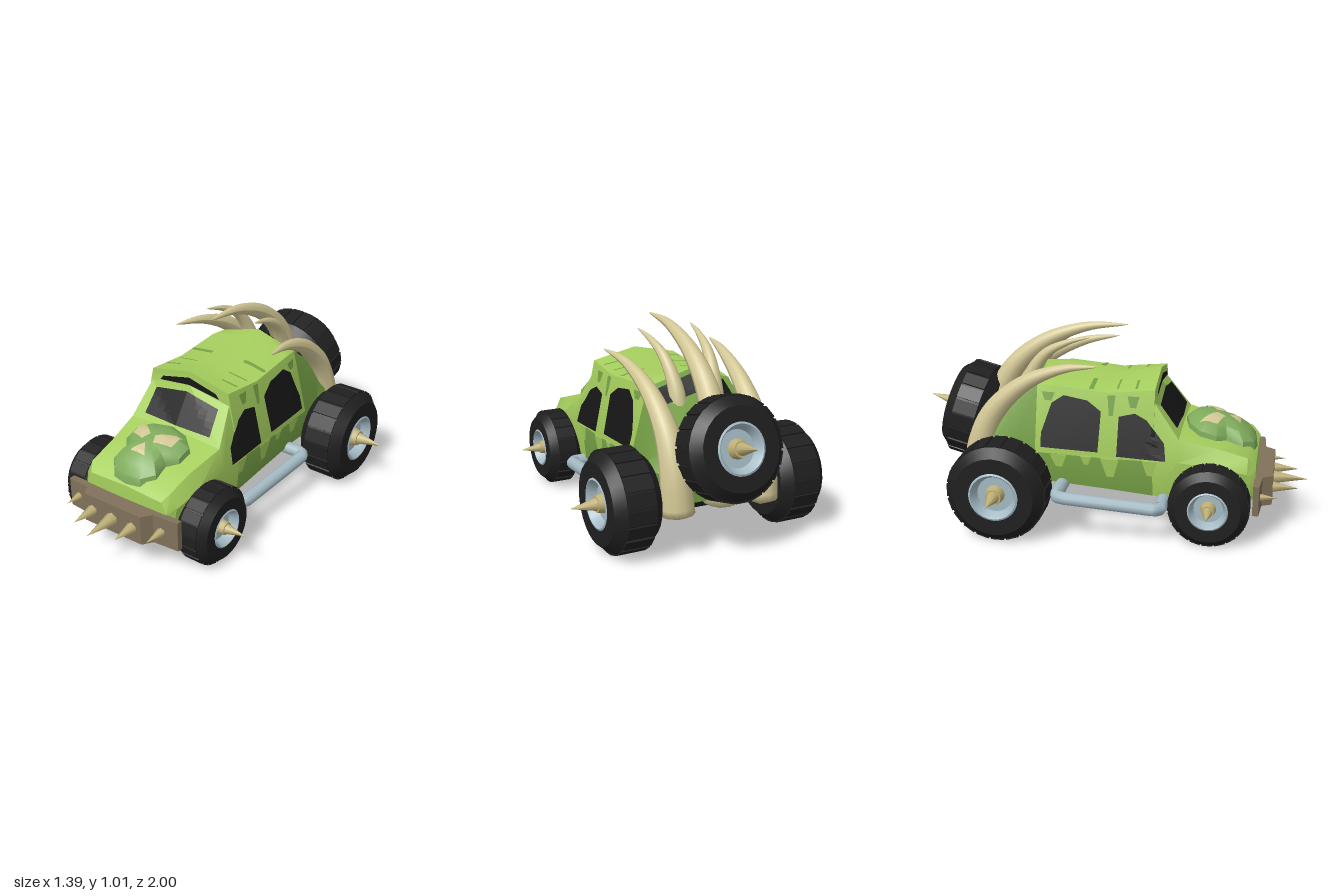
import * as THREE from 'three';
import { toCreasedNormals } from 'three/addons/utils/BufferGeometryUtils.js';

const mat = (name, color) => new THREE.MeshStandardMaterial({ name, color, side: THREE.DoubleSide });
const M = {
  green: mat('lime paint', 0xa6cf5e), dark: mat('moss paint', 0x75a045), skull: mat('skull green', 0x7fab5c),
  tyre: mat('tyre black', 0x1f1f20), glass: mat('dark glass', 0x161617), bone: mat('bone', 0xd2c795),
  spike: mat('spike tan', 0xbfb077), wood: mat('bumper brown', 0x80715a), steel: mat('pale steel', 0xa4bac4),
};
const V = (x, y, z) => new THREE.Vector3(x, y, z);
const lerp = THREE.MathUtils.lerp;

function add(parent, name, geometry, material) {
  const mesh = new THREE.Mesh(geometry, material);
  mesh.name = name;
  parent.add(mesh);
  return mesh;
}

function flat(positions) {
  const g = new THREE.BufferGeometry();
  g.setAttribute('position', new THREE.Float32BufferAttribute(positions, 3));
  g.computeVertexNormals();
  return g;
}

// Body shell lofted along z: [z, bottom, sill half width, belt y, belt half width, edge y, edge half width, crown y]
const STATIONS = [
  [0.74, 0.20, 0.22, 0.32, 0.25, 0.375, 0.22, 0.385],
  [0.70, 0.17, 0.25, 0.34, 0.28, 0.415, 0.245, 0.43],
  [0.55, 0.17, 0.26, 0.37, 0.295, 0.455, 0.25, 0.475],
  [0.36, 0.19, 0.27, 0.39, 0.305, 0.50, 0.275, 0.515],
  [0.235, 0.20, 0.29, 0.39, 0.31, 0.67, 0.24, 0.71],
  [0.235, 0.20, 0.29, 0.39, 0.31, 0.735, 0.235, 0.785],
  [0.0, 0.22, 0.29, 0.39, 0.31, 0.71, 0.24, 0.74],
  [-0.27, 0.24, 0.29, 0.40, 0.31, 0.735, 0.235, 0.79],
  [-0.36, 0.24, 0.29, 0.40, 0.31, 0.73, 0.225, 0.795],
  [-0.48, 0.24, 0.28, 0.40, 0.305, 0.64, 0.225, 0.69],
  [-0.60, 0.24, 0.27, 0.39, 0.30, 0.50, 0.24, 0.55],
  [-0.70, 0.25, 0.22, 0.37, 0.25, 0.41, 0.21, 0.43],
];

function bodyShell(parent) {
  const loops = STATIONS.map(([z, yb, s, y1, w1, y2, w2, yc]) => {
    const half = [[s, yb], [w1, y1], [w2, y2]];
    return [[0, yb], ...half, [0, yc], ...half.map(([x, y]) => [-x, y]).reverse()].map(([x, y]) => [x, y, z]);
  });
  const buckets = [[], [], []]; // lime, moss, underside
  const n = 8;
  for (let i = 0; i < loops.length - 1; i++) {
    for (let j = 0; j < n; j++) {
      const a = loops[i][j], b = loops[i][(j + 1) % n], c = loops[i + 1][(j + 1) % n], d = loops[i + 1][j];
      const z = STATIONS[i][0];
      const lowerSide = j === 1 || j === 6;
      const k = j === 0 || j === 7 ? 2 : z <= -0.36 || (lowerSide && z < 0.3) ? 1 : 0;
      buckets[k].push(...a, ...d, ...c, ...a, ...c, ...b);
    }
  }
  const front = loops[0], rear = loops[loops.length - 1];
  for (let j = 0; j < n; j++) {
    const k = (j + 1) % n;
    buckets[0].push(0, 0.3, 0.745, ...front[j], ...front[k]);
    buckets[1].push(0, 0.33, -0.70, ...rear[k], ...rear[j]);
  }
  const geo = toCreasedNormals(flat(buckets.flat()), 0.6);
  let start = 0;
  buckets.forEach((b, k) => { geo.addGroup(start, b.length / 3, k); start += b.length / 3; });
  return add(parent, 'bodyShell', geo, [M.green, M.dark, M.tyre]);
}

// Thin panel laid on a surface: outline is (z,y) along x, (x,z) along y, (x,y) along z
function patch(parent, name, outline, target, axis, sign, material, lift = 0.006) {
  const dir = V(axis === 'x' ? -sign : 0, axis === 'y' ? -sign : 0, axis === 'z' ? -sign : 0);
  const ray = new THREE.Raycaster();
  const place = ([u, v]) => {
    const o = axis === 'x' ? V(2 * sign, v, u) : axis === 'y' ? V(u, 2 * sign, v) : V(u, v, 2 * sign);
    ray.set(o, dir);
    const hit = ray.intersectObject(target)[0];
    const p = hit ? hit.point : o.addScaledVector(dir, 1.7);
    return p.addScaledVector(dir, -lift).toArray();
  };
  const edge = outline.flatMap((p, i) => {
    const q = outline[(i + 1) % outline.length];
    return [0, 1, 2, 3].map(k => [lerp(p[0], q[0], k / 4), lerp(p[1], q[1], k / 4)]);
  });
  const cu = outline.reduce((s, p) => s + p[0], 0) / outline.length;
  const cv = outline.reduce((s, p) => s + p[1], 0) / outline.length;
  const rings = [0, 1, 2, 3, 4].map(r => edge.map(p => place([lerp(cu, p[0], r / 4), lerp(cv, p[1], r / 4)])));
  const pos = [];
  for (let r = 0; r < 4; r++) {
    for (let i = 0; i < edge.length; i++) {
      const j = (i + 1) % edge.length;
      const a = rings[r][i], b = rings[r + 1][i], c = rings[r + 1][j], d = rings[r][j];
      pos.push(...a, ...b, ...c);
      if (r > 0) pos.push(...a, ...c, ...d);
    }
  }
  return add(parent, name, flat(pos), material);
}

// Wheel on a local +y axle, spike pointing outward
function wheel(name, R, h, spikeLength) {
  const g = new THREE.Group();
  g.name = name;
  const lathe = pts => new THREE.LatheGeometry(pts.map(([r, y]) => new THREE.Vector2(r, y)), 28);
  const r = R * 0.975;
  add(g, 'tyre', toCreasedNormals(lathe([[0, -h + 0.02], [0.45 * R, -h + 0.02], [0.5 * R, -h], [0.8 * R, -h], [r, -h + 0.2 * R],
    [r, h - 0.2 * R], [0.8 * R, h], [0.5 * R, h], [0.45 * R, h - 0.06]]), 0.5), M.tyre);
  add(g, 'rim', toCreasedNormals(lathe([[0.5 * R, h - 0.002], [0.46 * R, h + 0.003], [0.42 * R, h - 0.01],
    [0.36 * R, h - 0.045], [0, h - 0.045]]), 0.5), M.steel);
  for (let i = 0; i < 20; i++) {
    const a = (i / 20) * Math.PI * 2;
    const tread = add(g, 'tread', new THREE.BoxGeometry(R * 0.05, 2 * h - 0.4 * R, R * 0.26), M.tyre);
    tread.position.set(Math.cos(a) * R * 0.972, 0, Math.sin(a) * R * 0.972);
    tread.rotation.y = -a;
  }
  add(g, 'hub', new THREE.CylinderGeometry(R * 0.16, R * 0.2, 0.05, 12).translate(0, h - 0.025, 0), M.spike);
  add(g, 'hubSpike', new THREE.ConeGeometry(R * 0.13, spikeLength, 8).translate(0, h + spikeLength / 2, 0), M.spike);
  return g;
}

// Tapered curved tusk, thick rounded base to sharp tip
function tusk(parent, name, pts, radius) {
  const curve = new THREE.CatmullRomCurve3(pts.map(p => V(...p)));
  const seg = 32, sides = 12;
  const geo = new THREE.TubeGeometry(curve, seg, radius, sides);
  const p = geo.attributes.position, v = V(0, 0, 0);
  for (let i = 0; i <= seg; i++) {
    const c = curve.getPointAt(i / seg);
    const k = i === 0 ? 0 : Math.pow(1 - i / seg, 0.75);
    for (let j = 0; j <= sides; j++) {
      const id = i * (sides + 1) + j;
      v.fromBufferAttribute(p, id).sub(c).multiplyScalar(k).add(c);
      p.setXYZ(id, v.x, v.y, v.z);
    }
  }
  geo.computeVertexNormals();
  return add(parent, name, geo, M.bone);
}

// Faceted skull dome on the hood
function skullDome(parent) {
  const half = [[0, 0.365], [0.1, 0.39], [0.17, 0.45], [0.17, 0.535], [0.125, 0.585], [0.135, 0.67], [0.08, 0.725], [0, 0.735]];
  const outline = [...half, ...half.slice(1, -1).map(([x, z]) => [-x, z]).reverse()];
  const rings = [[1, -0.025], [0.97, 0.02], [0.75, 0.06], [0.4, 0.085], [0, 0.09]].map(([s, up]) => outline.map(([x, z]) => {
    const zz = lerp(0.56, z, s);
    return [x * s, 0.515 - 0.27 * (zz - 0.37) + up, zz];
  }));
  const pos = [];
  for (let r = 0; r < 4; r++) outline.forEach((_, i) => {
    const j = (i + 1) % outline.length;
    const a = rings[r][i], b = rings[r][j], c = rings[r + 1][j], d = rings[r + 1][i];
    pos.push(...a, ...c, ...b, ...a, ...d, ...c);
  });
  return add(parent, 'hoodSkull', toCreasedNormals(flat(pos), 0.55), M.skull);
}

export function createModel() {
  const car = new THREE.Group();
  car.name = 'spikedBuggy';
  const body = bodyShell(car);

  // Windows
  patch(car, 'windshield', [[-0.205, 0.535], [0, 0.535], [0.205, 0.535], [0.195, 0.65], [0, 0.685], [-0.195, 0.65]], body, 'z', 1, M.glass);
  patch(car, 'visorSlot', [[-0.185, 0.69], [0, 0.72], [0.185, 0.69], [0.165, 0.715], [0, 0.755], [-0.165, 0.715]], body, 'z', 1, M.glass);
  patch(car, 'rearWindow', [[-0.18, -0.385], [0.18, -0.385], [0.19, -0.465], [-0.19, -0.465]], body, 'y', 1, M.glass);
  for (const s of [1, -1]) {
    patch(car, 'frontSideWindow', [[0.30, 0.395], [0.29, 0.48], [0.2, 0.59], [0.14, 0.62], [0.06, 0.6], [0.055, 0.405]], body, 'x', s, M.glass);
    patch(car, 'rearSideWindow', [[-0.04, 0.42], [-0.03, 0.62], [-0.1, 0.67], [-0.22, 0.69], [-0.28, 0.65], [-0.33, 0.5], [-0.33, 0.43]], body, 'x', s, M.glass);
    // Paint drips and stripes
    for (const [z, w, y] of [[0.22, 0.04, 0.31], [0.02, 0.05, 0.29], [-0.1, 0.03, 0.35], [-0.24, 0.045, 0.33]])
      patch(car, 'paintDrip', [[z - w, 0.4], [z + w, 0.4], [z + w * 0.4, y], [z - w * 0.3, y]], body, 'x', s, M.green, 0.004);
    for (const [z, w, y] of [[0.13, 0.03, 0.645], [0.02, 0.02, 0.6], [-0.3, 0.035, 0.66]])
      patch(car, 'mossDrip', [[z - w, 0.7], [z + w, 0.7], [z + w * 0.5, y], [z - w * 0.5, y]], body, 'x', s, M.dark, 0.003);
    for (const [x0, x1, z, t] of [[0.1, 0.23, -0.085, 0.011], [0.1, 0.21, 0.045, 0.005], [0.13, 0.22, 0.14, 0.006]])
      patch(car, 'roofStripe', [[s * x0, z - t], [s * x1, z - t], [s * x1, z + t], [s * x0, z + t]], body, 'y', 1, M.dark, 0.004);
  }

  // Hood skull with eyes and nose
  const skull = skullDome(car);
  for (const s of [1, -1])
    patch(car, 'skullEye', [[s * 0.12, 0.445], [s * 0.12, 0.535], [s * 0.035, 0.57], [s * 0.015, 0.525]], skull, 'y', 1, M.bone);
  patch(car, 'skullNose', [[0, 0.585], [0.045, 0.645], [-0.045, 0.645]], skull, 'y', 1, M.bone);

  // Wheels and axles
  for (const s of [1, -1]) {
    const front = wheel('frontWheel', 0.2, 0.09, 0.105);
    front.position.set(s * 0.355, 0.2, 0.525);
    const rear = wheel('rearWheel', 0.25, 0.122, 0.13);
    rear.position.set(s * 0.443, 0.25, -0.51);
    for (const w of [front, rear]) { w.rotation.z = -s * Math.PI / 2; car.add(w); }
  }
  const spare = wheel('spareWheel', 0.25, 0.11, 0.14);
  spare.position.set(0, 0.51, -0.758);
  spare.rotation.x = -1.308;
  car.add(spare);
  for (const [name, y, z, r] of [['frontAxle', 0.2, 0.525, 0.1], ['rearAxle', 0.25, -0.51, 0.1]])
    add(car, name, new THREE.CylinderGeometry(r, r, 0.68, 16).rotateZ(Math.PI / 2).translate(0, y, z), M.tyre);

  // Steel side-step frame passing under the floor
  const corners = [V(-0.42, 0.18, 0.29), V(-0.46, 0.23, -0.225), V(0.4, 0.23, -0.23), V(0.36, 0.18, 0.28)];
  const loop = corners.flatMap((c, i) => [corners[(i + 3) % 4], corners[(i + 1) % 4]].map(o =>
    c.clone().add(o.clone().sub(c).setLength(0.025))));
  add(car, 'sideStepFrame', new THREE.TubeGeometry(new THREE.CatmullRomCurve3(loop, true, 'catmullrom', 0), 160, 0.033, 10, true), M.steel);

  // Bumper with spikes
  const bumper = new THREE.Group();
  bumper.name = 'bumper';
  const plan = [[-0.34, 0.735], [0.34, 0.735], [0.34, 0.765], [0.2, 0.775], [0.165, 0.825], [-0.19, 0.825], [-0.215, 0.775], [-0.34, 0.765]];
  const shape = new THREE.Shape(plan.map(([x, z]) => new THREE.Vector2(x, -z)));
  add(bumper, 'bumperBeam', new THREE.ExtrudeGeometry(shape, { depth: 0.155, bevelEnabled: false }).rotateX(-Math.PI / 2).translate(0, 0.157, 0), M.wood);
  for (const [x, base, tip, r] of [[-0.28, 0.76, 0.855, 0.022], [-0.14, 0.82, 0.955, 0.03], [-0.015, 0.82, 1.0, 0.036],
    [0.11, 0.82, 0.95, 0.03], [0.245, 0.765, 0.88, 0.024]])
    add(bumper, 'bumperSpike', new THREE.ConeGeometry(r, tip - base, 6).rotateX(Math.PI / 2).translate(x, 0.233, (tip + base) / 2), M.spike);
  bumper.rotation.z = 0.015;
  car.add(bumper);

  // Tusks arching over the roof from the rear
  tusk(car, 'centreTusk', [[0, 0.19, -0.68], [0, 0.4, -0.68], [0, 0.6, -0.62], [0, 0.77, -0.52], [0, 0.9, -0.36], [0, 0.98, -0.15], [0, 1.0, 0.07]], 0.088);
  for (const s of [1, -1]) {
    tusk(car, 'outerTusk', [[s * 0.225, 0.17, -0.68], [s * 0.235, 0.4, -0.66], [s * 0.24, 0.58, -0.585], [s * 0.25, 0.74, -0.42],
      [s * 0.27, 0.83, -0.22], [s * 0.3, 0.86, -0.03]], 0.085);
    tusk(car, 'innerTusk', [[s * 0.1, 0.55, -0.46], [s * 0.105, 0.72, -0.43], [s * 0.12, 0.86, -0.34], [s * 0.135, 0.93, -0.22], [s * 0.148, 0.965, -0.1]], 0.05);
  }
  return car;
}
